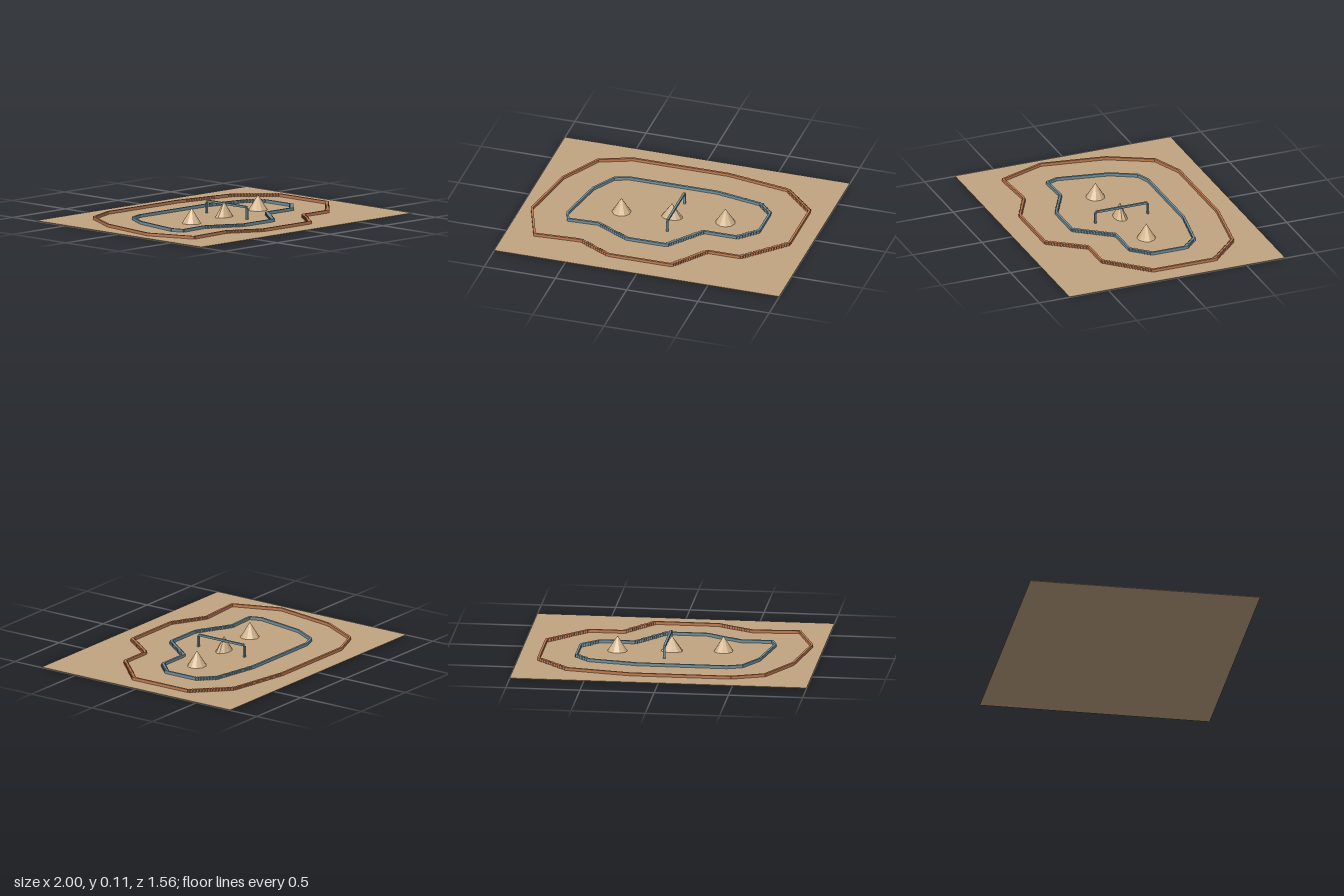
import * as THREE from 'three';

const GROUND_Y = 0.004;
const mat = (name, color) => new THREE.MeshStandardMaterial({ name, color });

export function createModel() {
  const model = new THREE.Group();
  model.name = 'walledSite';
  const sand = mat('sand', 0xc2a582);
  const rust = mat('rust', 0xc07a50);
  const steel = mat('steelBlue', 0x708f9c);
  const tan = mat('tan', 0xd2b48c);

  const addBox = (parent, name, material, size, pos, turn = 0) => {
    const mesh = new THREE.Mesh(new THREE.BoxGeometry(...size), material);
    mesh.name = name;
    mesh.position.set(...pos);
    mesh.rotation.y = turn;
    parent.add(mesh);
    return mesh;
  };

  // Thin ground slab
  addBox(model, 'ground', sand, [2, GROUND_Y, 1.56], [0, GROUND_Y / 2, 0]);

  // Closed wall made of short blocks; diagonal runs to the right are stepped
  const addWall = (name, material, points) => {
    const wall = new THREE.Group();
    wall.name = name;
    const height = 0.02, width = 0.015, pitch = 0.02;
    points.forEach(([x0, z0], i) => {
      const [x1, z1] = points[(i + 1) % points.length];
      const dx = x1 - x0, dz = z1 - z0;
      const length = Math.hypot(dx, dz);
      const count = Math.max(1, Math.round(length / pitch));
      const diagonal = Math.abs(dx) > 0.001 && Math.abs(dz) > 0.001;
      const stepped = diagonal && (x0 + x1) / 2 > -0.45;
      const turn = stepped ? 0 : -Math.atan2(dz, dx);
      const depth = stepped ? Math.max(width, Math.abs(dz) / count + 0.004) : width;
      for (let k = 0; k < count; k++) {
        const t = (k + 0.5) / count;
        addBox(wall, 'wallBlock', material, [length / count + 0.002, height, depth],
          [x0 + dx * t, GROUND_Y + height / 2, z0 + dz * t], turn);
      }
    });
    model.add(wall);
  };

  addWall('outerWall', rust, [
    [-0.69, -0.54], [-0.47, -0.625], [0.2, -0.625], [0.64, -0.55], [0.86, -0.33],
    [0.86, 0.115], [0.6, 0.38], [0.37, 0.38], [0.19, 0.62], [-0.25, 0.62],
    [-0.48, 0.495], [-0.8, 0.515], [-0.92, 0.195], [-0.845, -0.25],
  ]);
  addWall('innerWall', steel, [
    [-0.515, -0.345], [-0.415, -0.38], [0.195, -0.38], [0.52, -0.32], [0.618, -0.22],
    [0.618, 0.02], [0.5, 0.14], [0.265, 0.14], [0.08, 0.38], [-0.195, 0.38],
    [-0.435, 0.25], [-0.645, 0.26], [-0.675, 0.18], [-0.61, -0.175],
  ]);

  // Faceted mounds: x, z, radius, depth scale, turn
  const mounds = [
    [-0.343, 0.036, 0.065, 1, 0],
    [0, 0, 0.075, 0.62, 0],
    [0.362, -0.04, 0.068, 0.93, Math.PI / 2],
  ];
  for (const [x, z, radius, depth, turn] of mounds) {
    const height = 0.104;
    const cone = new THREE.ConeGeometry(radius, height, 10).toNonIndexed();
    cone.rotateY(turn).scale(1, 1, depth);
    cone.computeVertexNormals();
    const mound = new THREE.Mesh(cone, tan);
    mound.name = 'mound';
    mound.position.set(x, GROUND_Y + height / 2, z);
    model.add(mound);
  }

  // Beam on two posts
  const gantry = new THREE.Group();
  gantry.name = 'gantry';
  for (const side of [-1, 1]) {
    addBox(gantry, 'gantryPost', steel, [0.015, 0.076, 0.012], [0.028, GROUND_Y + 0.038, side * 0.19]);
  }
  addBox(gantry, 'gantryBeam', steel, [0.015, 0.014, 0.372], [0.028, 0.087, 0]);
  model.add(gantry);

  return model;
}
